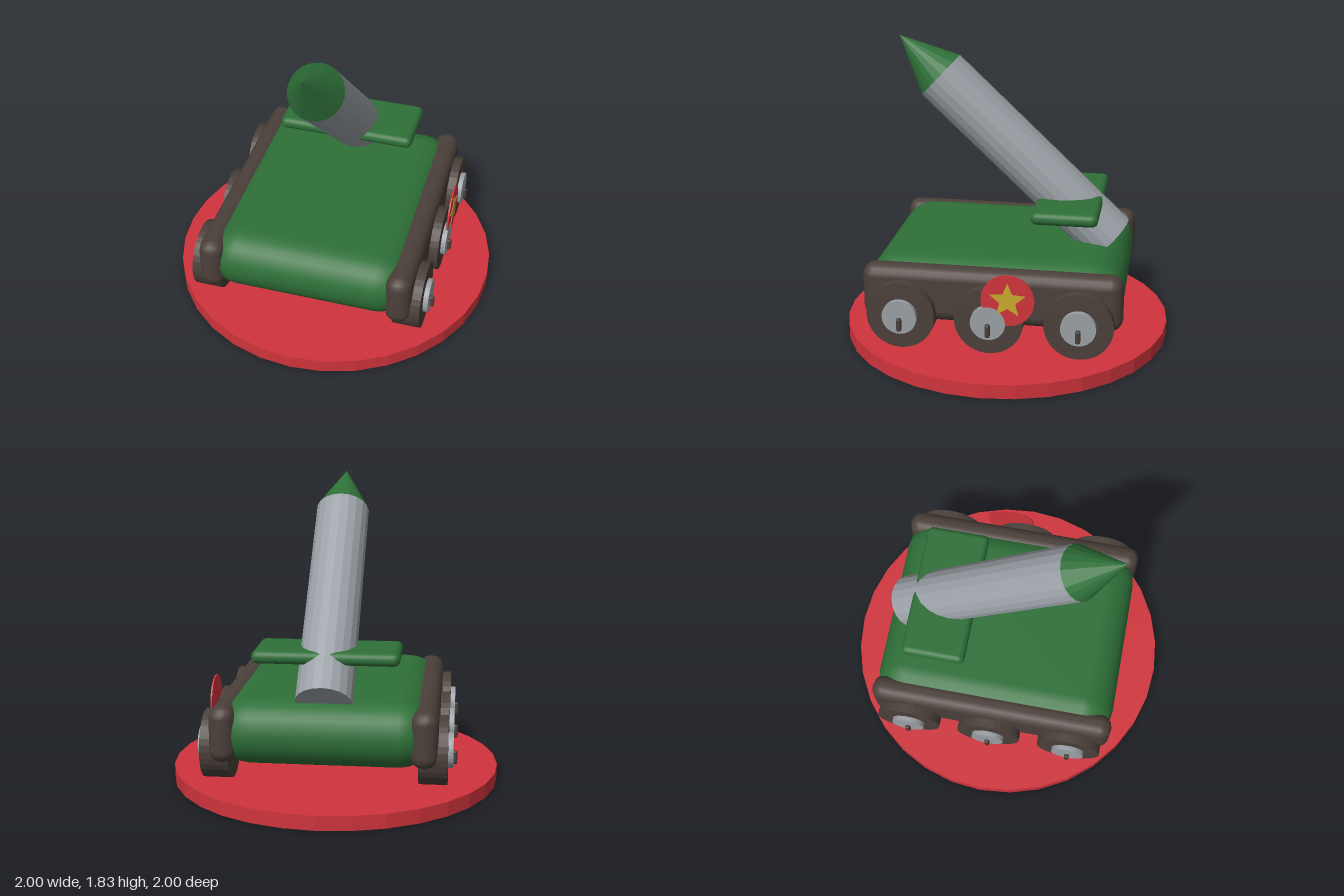
import * as THREE from 'three';
import { RoundedBoxGeometry } from 'three/addons/geometries/RoundedBoxGeometry.js';

const material = (name, color) => {
  const m = new THREE.MeshStandardMaterial({ color });
  m.name = name;
  return m;
};

// Faceted look: every face gets its own normal
function flat(geometry) {
  const g = geometry.toNonIndexed();
  g.computeVertexNormals();
  return g;
}

export function createModel() {
  const red = material('red', 0xd0343c);
  const green = material('green', 0x2e7038);
  const grey = material('grey', 0x9aa0a6);
  const brown = material('brown', 0x4b403a);
  const yellow = material('yellow', 0xcaaa2e);

  const model = new THREE.Group();
  model.name = 'rocketCarrier';
  const add = (name, geometry, mat, x, y, z, parent = model) => {
    const mesh = new THREE.Mesh(geometry, mat);
    mesh.name = name;
    mesh.position.set(x, y, z);
    parent.add(mesh);
    return mesh;
  };

  // Round display base
  add('base', flat(new THREE.CylinderGeometry(1, 1, 0.086, 32)), red, 0, 0.043, 0);

  // Pillow-shaped hull
  add('hull', new RoundedBoxGeometry(1.24, 0.386, 1.512, 3, 0.19), green, 0, 0.433, 0);

  // Side skirts and wheels, mirrored
  const skirt = new RoundedBoxGeometry(0.155, 0.33, 1.52, 2, 0.07);
  const tyre = flat(new THREE.CylinderGeometry(0.2, 0.2, 0.165, 32));
  const hub = flat(new THREE.CylinderGeometry(0.102, 0.102, 0.03, 32));
  const lug = new RoundedBoxGeometry(0.05, 0.08, 0.03, 2, 0.012);
  for (const side of [1, -1]) {
    const prefix = side > 0 ? 'left' : 'right';
    add(prefix + 'Skirt', skirt, brown, side * 0.573, 0.437, 0);
    for (const z of [0.517, 0, -0.517]) {
      const wheel = new THREE.Group();
      wheel.name = prefix + 'Wheel';
      wheel.position.set(side * 0.622, 0.33, z);
      model.add(wheel);
      add('tyre', tyre, brown, 0, 0, 0, wheel).rotation.z = Math.PI / 2;
      add('hub', hub, grey, side * 0.097, 0, 0, wheel).rotation.z = Math.PI / 2;
      add('lug', lug, brown, side * 0.109, -0.042, 0, wheel);
    }
  }

  // Inclined rocket, rising toward the front
  const rocket = new THREE.Group();
  rocket.name = 'rocket';
  rocket.position.set(0, 0.615, -0.63);
  rocket.rotation.x = Math.atan2(1.035, 0.98);
  model.add(rocket);
  add('rocketBody', flat(new THREE.CylinderGeometry(0.165, 0.165, 1.425, 20)), grey, 0, 0.7125, 0, rocket);
  add('rocketNose', flat(new THREE.ConeGeometry(0.165, 0.34, 20)), green, 0, 1.595, 0, rocket);

  // Level wing plate through the rocket
  add('wing', new RoundedBoxGeometry(0.85, 0.076, 0.392, 3, 0.036), green, 0, 0.858, -0.392);

  // Round badge with a star on the left side
  const badge = new THREE.Group();
  badge.name = 'badge';
  badge.position.set(0.728, 0.478, -0.115);
  badge.rotation.y = Math.PI / 2;
  model.add(badge);
  add('badgeDisc', flat(new THREE.CylinderGeometry(0.154, 0.154, 0.01, 32)), red, 0, 0, 0, badge).rotation.x = Math.PI / 2;
  const star = new THREE.Shape();
  for (let i = 0; i < 10; i++) {
    const r = i % 2 ? 0.048 : 0.108;
    const a = Math.PI / 2 + (i * Math.PI) / 5;
    star[i ? 'lineTo' : 'moveTo'](r * Math.cos(a), r * Math.sin(a));
  }
  star.closePath();
  add('badgeStar', new THREE.ExtrudeGeometry(star, { depth: 0.003, bevelEnabled: false }), yellow, 0, 0, 0.005, badge);

  return model;
}
